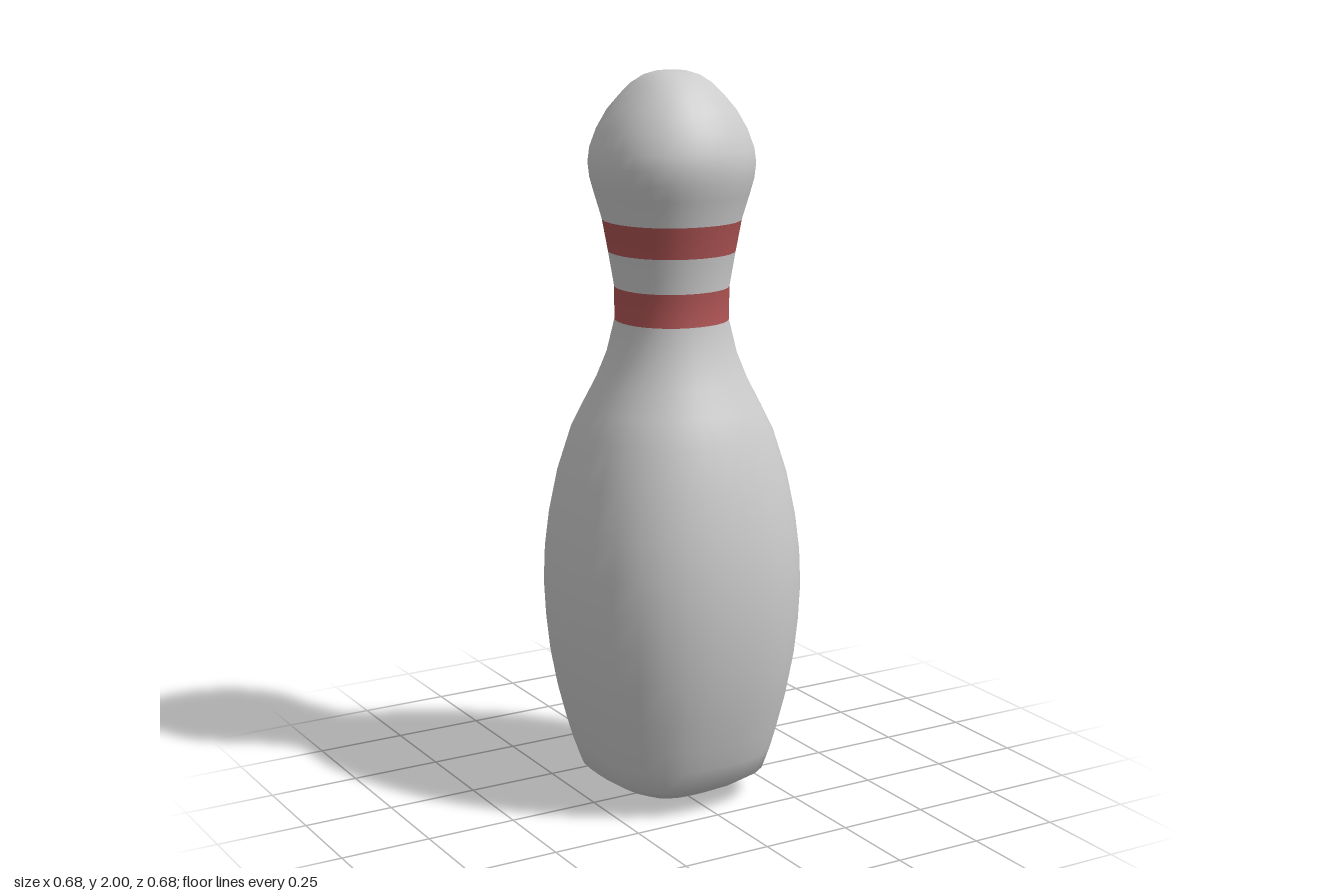
import * as THREE from 'three';

const SIDES = 32;

// Rings from the foot to the crown: height, half width, squareness (2 = round)
const RINGS = [
  [0, 0, 2.8], [0.003, 0.07, 2.8], [0.015, 0.125, 2.8], [0.045, 0.183, 2.8],
  [0.08, 0.235, 2.8], [0.14, 0.258, 2.65], [0.2, 0.278, 2.5], [0.3, 0.305, 2.4], [0.4, 0.325, 2.33],
  [0.5, 0.337, 2.28], [0.6, 0.342, 2.28], [0.7, 0.338, 2.28], [0.8, 0.326, 2.28],
  [0.92, 0.302, 2.28], [1.04, 0.266, 2.25], [1.11, 0.234, 2.2], [1.18, 0.2, 2.15],
  [1.25, 0.173, 2.12], [1.34, 0.152, 2.1],
  [1.43, 0.153, 2.1], [1.525, 0.169, 2.1],
  [1.61, 0.184, 2.12], [1.68, 0.204, 2.15], [1.72, 0.214, 2.18], [1.76, 0.218, 2.2],
  [1.8, 0.213, 2.2], [1.85, 0.195, 2.2], [1.9, 0.166, 2.25], [1.94, 0.132, 2.3],
  [1.97, 0.102, 2.4], [1.99, 0.072, 2.4], [2, 0.04, 2.4], [2, 0, 2.4],
];

// Triangles joining ring a up to ring b
function skin(a, b) {
  const index = [];
  for (let i = a; i < b; i++) {
    for (let j = 0; j < SIDES; j++) {
      const k = (j + 1) % SIDES;
      const p = i * SIDES + j, q = i * SIDES + k;
      const r = p + SIDES, s = q + SIDES;
      if (RINGS[i][1] > 0) index.push(p, r, q);
      if (RINGS[i + 1][1] > 0) index.push(q, r, s);
    }
  }
  return index;
}

export function createModel() {
  const pin = new THREE.Group();
  pin.name = 'pin';

  // Softly squared cross-sections
  const points = [];
  for (const [y, radius, n] of RINGS) {
    for (let j = 0; j < SIDES; j++) {
      const t = (j / SIDES) * Math.PI * 2;
      const c = Math.cos(t), s = Math.sin(t);
      const d = radius / Math.pow(Math.abs(c) ** n + Math.abs(s) ** n, 1 / n);
      points.push(d * c, y, d * s);
    }
  }
  const whole = new THREE.BufferGeometry();
  whole.setAttribute('position', new THREE.Float32BufferAttribute(points, 3));
  whole.setIndex(skin(0, RINGS.length - 1));
  whole.computeVertexNormals();

  const grey = new THREE.MeshStandardMaterial({ color: 0xcccccc });
  const red = new THREE.MeshStandardMaterial({ color: 0xb05454 });

  // Sections share one set of normals so the surface stays smooth across bands
  const ringAt = (y) => RINGS.findIndex((r) => r[0] === y);
  const section = (name, a, b, material) => {
    const g = new THREE.BufferGeometry();
    g.setAttribute('position', whole.getAttribute('position').clone());
    g.setAttribute('normal', whole.getAttribute('normal').clone());
    g.setIndex(skin(a, b));
    const mesh = new THREE.Mesh(g, material);
    mesh.name = name;
    pin.add(mesh);
  };
  section('body', 0, ringAt(1.34), grey);
  section('lowerBand', ringAt(1.34), ringAt(1.43), red);
  section('neck', ringAt(1.43), ringAt(1.525), grey);
  section('upperBand', ringAt(1.525), ringAt(1.61), red);
  section('head', ringAt(1.61), RINGS.length - 1, grey);
  return pin;
}
